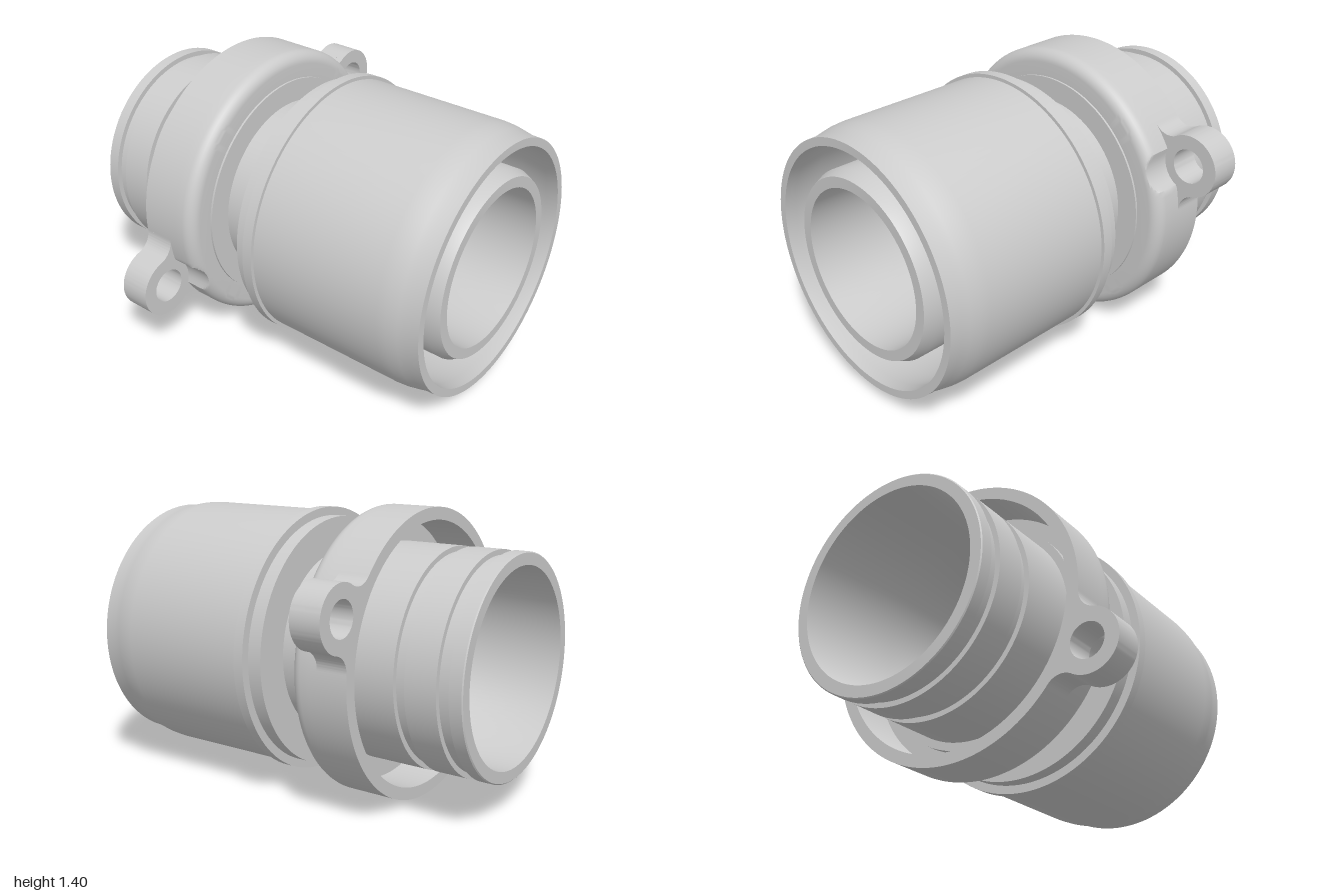
import * as THREE from 'three';
import { toCreasedNormals } from 'three/addons/utils/BufferGeometryUtils.js';

const AXIS_Y = 0.705;      // height of the pipe axis
const LUG_ANGLE = 0.388;   // tilt of the lugs about the axis
const LUG_DIST = 0.793;    // lug centre from the axis
const COLLAR_R = 0.7;
const material = new THREE.MeshStandardMaterial({ color: 0xcccccc });

function part(name, geometry) {
  const mesh = new THREE.Mesh(toCreasedNormals(geometry, 0.5), material);
  mesh.name = name;
  return mesh;
}

// Closed ring about the x axis; profile of [x, radius], outside first with x increasing
function turned(profile, segments = 128) {
  const points = [...profile, profile[0]].map(([x, r]) => new THREE.Vector2(r, x));
  return new THREE.LatheGeometry(points, segments).rotateZ(-Math.PI / 2);
}

// Rounded corner points of a profile
function corner(cx, cr, radius, steps = 8) {
  return Array.from({ length: steps + 1 }, (_, i) => {
    const a = (i / steps) * Math.PI / 2;
    return [cx + radius * Math.sin(a), cr + radius * Math.cos(a)];
  });
}

// Collar with a bolt clearance scoop in front of each lug
function collarGeometry() {
  const geometry = turned([
    [-0.54, COLLAR_R], [-0.386, COLLAR_R], [-0.385, COLLAR_R], [-0.34, COLLAR_R],
    ...corner(-0.295, 0.64, 0.06),
    [-0.235, 0.56], [-0.32, 0.56], [-0.32, 0.64], [-0.54, 0.64],
  ], 288);
  const p = geometry.attributes.position;
  const scoop = 0.135;
  for (let i = 0; i < p.count; i++) {
    if (p.getX(i) < -0.3855) continue;
    const y = p.getY(i), z = p.getZ(i), r = Math.hypot(y, z);
    const angle = Math.atan2(y, -z) - LUG_ANGLE;
    const across = LUG_DIST * Math.sin(angle);
    if (Math.abs(across) >= scoop) continue;
    const limit = LUG_DIST * Math.abs(Math.cos(angle)) - Math.sqrt(scoop ** 2 - across ** 2);
    if (r > limit) {
      p.setY(i, y * limit / r);
      p.setZ(i, z * limit / r);
    }
  }
  return geometry;
}

// Drilled ear blended into the collar by concave fillets
function lugGeometry() {
  const radius = 0.155, fillet = 0.0935, spread = Math.PI / 10;
  const fx = (COLLAR_R + fillet) * Math.cos(spread);
  const fy = (COLLAR_R + fillet) * Math.sin(spread);
  const toLug = Math.atan2(fy, LUG_DIST - fx);
  const inner = 0.66;
  const shape = new THREE.Shape();
  shape.moveTo(inner, 0);
  shape.lineTo(inner * Math.cos(spread), -inner * Math.sin(spread));
  shape.absarc(fx, -fy, fillet, Math.PI - spread, toLug, true);
  shape.absarc(LUG_DIST, 0, radius, toLug - Math.PI, Math.PI - toLug, false);
  shape.absarc(fx, fy, fillet, -toLug, spread - Math.PI, true);
  shape.lineTo(inner * Math.cos(spread), inner * Math.sin(spread));
  shape.closePath();
  const hole = new THREE.Path();
  hole.absarc(LUG_DIST, 0, 0.085, 0, Math.PI * 2, true);
  shape.holes.push(hole);
  return new THREE.ExtrudeGeometry(shape, { depth: 0.155, bevelEnabled: false, curveSegments: 32 })
    .rotateY(Math.PI / 2)
    .translate(-0.54, 0, 0);
}

export function createModel() {
  const model = new THREE.Group();
  model.name = 'pipeCoupling';
  const assembly = new THREE.Group();
  assembly.name = 'coupling';
  assembly.position.y = AXIS_Y;
  model.add(assembly);

  // Through pipe: grooved spigot, flange, neck and hose insert
  assembly.add(part('innerPipe', turned([
    [-1, 0.525], [-0.995, 0.53],
    [-0.935, 0.53], [-0.935, 0.505], [-0.875, 0.505], [-0.875, 0.53],
    [-0.72, 0.53], [-0.72, 0.505], [-0.665, 0.505], [-0.665, 0.53],
    [-0.36, 0.53], [-0.36, 0.57], [-0.225, 0.57], [-0.225, 0.457],
    [0.05, 0.457], [0.05, 0.465], [0.94, 0.465], [0.99, 0.442],
    [0.99, 0.39], [-0.2, 0.39], [-0.45, 0.47], [-1, 0.47],
  ])));

  // Outer sleeve with a back wall, raised band and drawn-in mouth
  assembly.add(part('sleeve', turned([
    [-0.012, 0.625], [0.06, 0.625], [0.06, 0.667], [0.112, 0.667], [0.112, 0.65],
    [0.8, 0.65], [0.85, 0.646], [0.9, 0.636], [0.94, 0.627], [1, 0.625],
    [1, 0.585], [0.94, 0.585], [0.8, 0.61], [0.12, 0.61],
    [0.12, 0.45], [-0.012, 0.45],
  ])));

  assembly.add(part('collar', collarGeometry()));

  // Two opposite bolt lugs
  [LUG_ANGLE, LUG_ANGLE + Math.PI].forEach((angle, i) => {
    const lug = part(i ? 'frontLug' : 'backLug', lugGeometry());
    lug.rotation.x = angle;
    assembly.add(lug);
  });

  return model;
}
